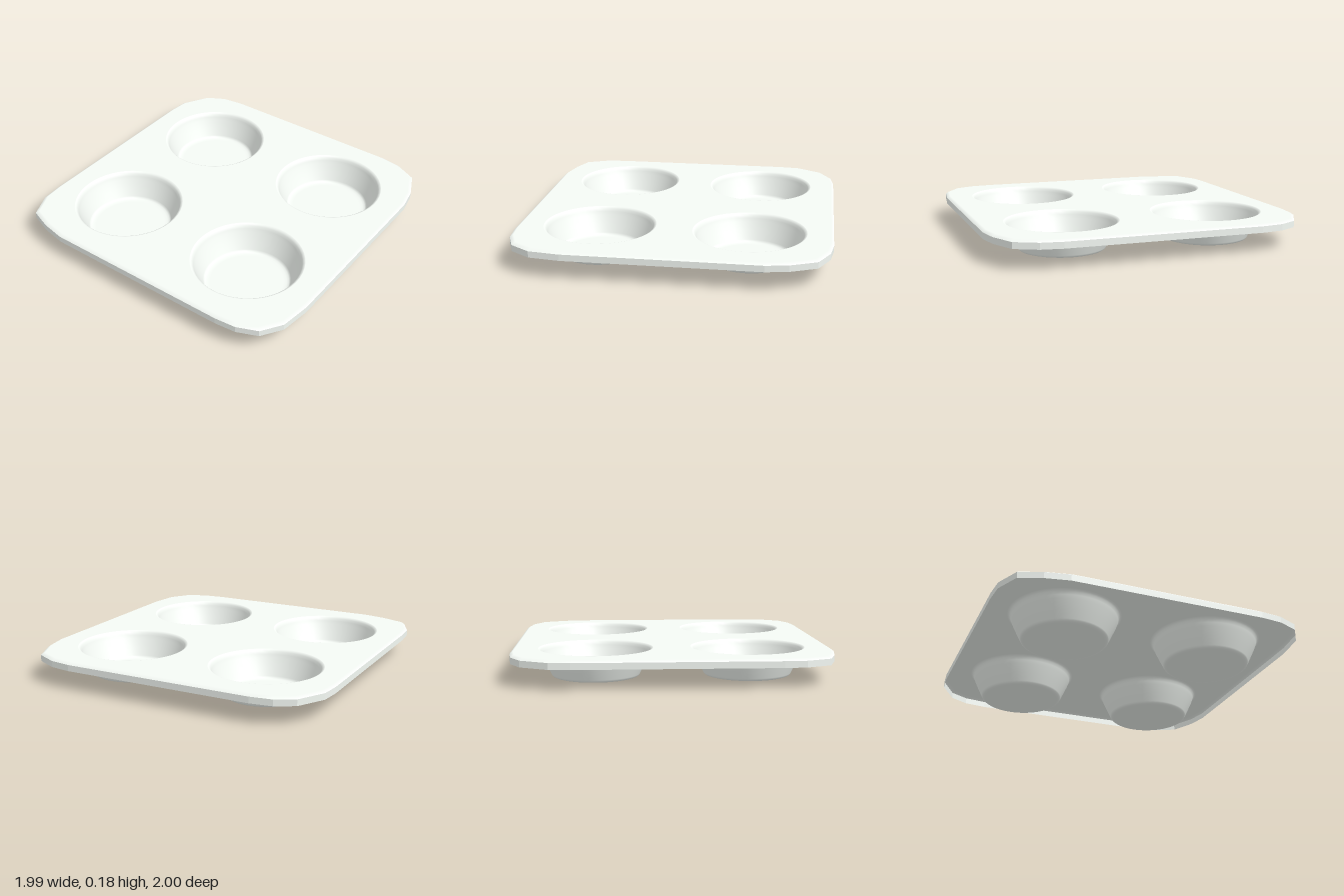
import * as THREE from 'three';

// Tray outline as [x, z], walking the four corners in turn
const OUTLINE = [
  [-1, -0.62], [-0.97, -0.775], [-0.917, -0.92], [-0.763, -0.99], [-0.63, -1],
  [0.61, -1], [0.74, -0.987], [0.91, -0.89], [0.974, -0.773], [0.994, -0.63],
  [0.994, 0.62], [0.974, 0.757], [0.904, 0.9], [0.74, 0.974], [0.6, 1],
  [-0.61, 1], [-0.805, 0.974], [-0.933, 0.888], [-0.987, 0.757], [-1, 0.62],
];
const TOP = 0.178, EDGE = 0.163, BASE = 0.123;
const INSET = 0.98;
const CUP_RADIUS = 0.36, SEGMENTS = 48;
const CUPS = [-0.479, 0.473].flatMap((x) => [-0.488, 0.482].map((z) => [x, z]));

const material = new THREE.MeshStandardMaterial({ color: 0xf5faf5, side: THREE.DoubleSide });

function addMesh(parent, name, geometry) {
  const mesh = new THREE.Mesh(geometry, material);
  mesh.name = name;
  parent.add(mesh);
  return mesh;
}

// Closed strip between two scaled copies of the outline
function outlineBand(y0, s0, y1, s1) {
  const n = OUTLINE.length, positions = [], index = [];
  for (const [y, s] of [[y0, s0], [y1, s1]]) {
    for (const [x, z] of OUTLINE) positions.push(x * s, y, z * s);
  }
  for (let i = 0; i < n; i++) {
    const j = (i + 1) % n;
    index.push(i, i + n, j, j, i + n, j + n);
  }
  const geometry = new THREE.BufferGeometry();
  geometry.setAttribute('position', new THREE.Float32BufferAttribute(positions, 3));
  geometry.setIndex(index);
  geometry.computeVertexNormals();
  return geometry;
}

export function createModel() {
  const group = new THREE.Group();
  group.name = 'muffinTray';

  // Flat top sheet with four round openings, matching the cup segments
  const sheet = new THREE.Shape(OUTLINE.map(([x, z]) => new THREE.Vector2(x * INSET, -z * INSET)));
  for (const [x, z] of CUPS) {
    sheet.holes.push(new THREE.Path().absarc(x, -z, CUP_RADIUS, 0, Math.PI * 2, true));
  }
  const sheetGeometry = new THREE.ShapeGeometry(sheet, SEGMENTS / 2);
  sheetGeometry.rotateX(-Math.PI / 2);
  addMesh(group, 'topSheet', sheetGeometry).position.y = TOP;

  // Softened shoulder, blending into the sheet
  const shoulder = outlineBand(EDGE, 1, TOP, INSET);
  for (let i = 0; i < OUTLINE.length; i++) {
    shoulder.attributes.normal.setXYZ(i + OUTLINE.length, 0, 1, 0);
  }
  addMesh(group, 'rimShoulder', shoulder);

  // Faceted skirt, open underneath
  const skirt = outlineBand(BASE, 1, EDGE, 1).toNonIndexed();
  skirt.computeVertexNormals();
  addMesh(group, 'rimSkirt', skirt);

  // Cups: rolled lip, tapered wall and rounded floor in one smooth profile
  const profile = [
    [CUP_RADIUS, TOP], [0.357, TOP], [0.349, 0.174], [0.341, 0.165], [0.334, 0.148],
    [0.326, 0.125], [0.3, 0.068], [0.277, 0.019], [0.272, 0.01], [0.264, 0.004],
    [0.25, 0], [0.23, 0], [0, 0],
  ].map(([r, y]) => new THREE.Vector2(r, y));
  const cupGeometry = new THREE.LatheGeometry(profile, SEGMENTS);
  for (const [x, z] of CUPS) {
    addMesh(group, 'cup', cupGeometry).position.set(x, 0, z);
  }
  return group;
}
